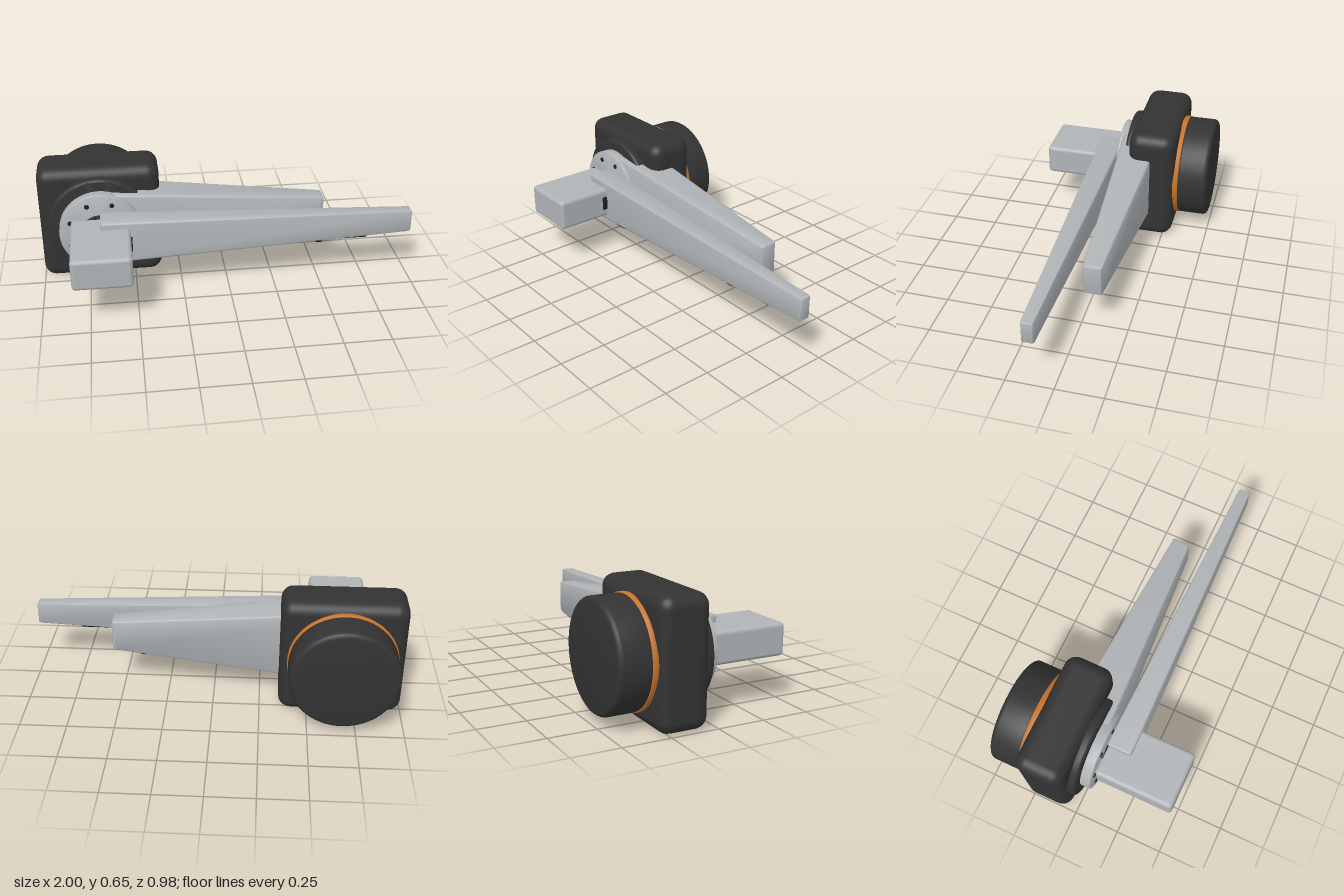
import * as THREE from 'three';
import { toCreasedNormals } from 'three/addons/utils/BufferGeometryUtils.js';
import { RoundedBoxGeometry } from 'three/addons/geometries/RoundedBoxGeometry.js';

const material = (name, color) => {
  const m = new THREE.MeshStandardMaterial({ color });
  m.name = name;
  return m;
};

export function createModel() {
  const model = new THREE.Group();
  model.name = 'twoArmMechanism';
  const charcoal = material('charcoal', 0x333333);
  const silver = material('silver', 0xb0b4b7);
  const copper = material('copper', 0xc8752d);
  const black = material('black', 0x1e1e1e);
  const cx = -0.675, cy = 0.328;

  const add = (name, geometry, mat, x = 0, y = 0, z = 0) => {
    const mesh = new THREE.Mesh(geometry, mat);
    mesh.name = name;
    mesh.position.set(x, y, z);
    model.add(mesh);
    return mesh;
  };

  // Box given by its extents, with rounded edges
  const box = (name, mat, [x0, x1], [y0, y1], [z0, z1], r) =>
    add(name, new RoundedBoxGeometry(x1 - x0, y1 - y0, z1 - z0, 4, r), mat,
      (x0 + x1) / 2, (y0 + y1) / 2, (z0 + z1) / 2);

  // Disc along z with rounded rims
  const disc = (name, mat, radius, z0, z1, bevel, x = cx, y = cy, segments = 64) => {
    const points = [new THREE.Vector2(0, z0)];
    for (let i = 0; i <= 4; i++) {
      const a = (i / 4) * Math.PI / 2;
      points.push(new THREE.Vector2(radius - bevel + bevel * Math.sin(a), z0 + bevel - bevel * Math.cos(a)));
    }
    for (let i = 0; i <= 4; i++) {
      const a = (i / 4) * Math.PI / 2;
      points.push(new THREE.Vector2(radius - bevel + bevel * Math.cos(a), z1 - bevel + bevel * Math.sin(a)));
    }
    points.push(new THREE.Vector2(0, z1));
    const g = toCreasedNormals(new THREE.LatheGeometry(points, segments), 0.6);
    return add(name, g.rotateX(Math.PI / 2), mat, x, y, 0);
  };

  // Arm tapering along +x from a root section to a tip section
  const arm = (name, x0, x1, y, z, root, tip, r) => {
    const length = x1 - x0;
    const g = new RoundedBoxGeometry(length, root[0], root[1], 3, r);
    const p = g.attributes.position;
    for (let i = 0; i < p.count; i++) {
      const t = p.getX(i) / length + 0.5;
      p.setY(i, p.getY(i) * (1 + t * (tip[0] / root[0] - 1)));
      p.setZ(i, p.getZ(i) * (1 + t * (tip[1] / root[1] - 1)));
    }
    add(name, toCreasedNormals(g, 0.6), silver, (x0 + x1) / 2, y, z);
  };

  // Rod along x, half sunk into an arm's underside, with a collar
  const rod = (name, x0, x1, y, z, r, collarX, collarR) => {
    add(name, new THREE.CylinderGeometry(r, r, x1 - x0, 24).rotateZ(Math.PI / 2),
      black, (x0 + x1) / 2, y, z);
    add(name + 'Collar', new THREE.CylinderGeometry(collarR, collarR, 0.03, 24).rotateZ(Math.PI / 2),
      black, collarX, y, z);
  };

  // Motor housing, back cap and trim
  box('housing', charcoal, [-1, -0.35], [0.003, 0.653], [-0.302, -0.04], 0.065);
  disc('backCap', charcoal, 0.283, -0.49, -0.31, 0.025);
  disc('trimRing', copper, 0.287, -0.325, -0.295, 0.003);
  disc('frontCollar', charcoal, 0.283, -0.06, 0, 0.015);

  // Face plate with bolts and hub
  disc('facePlate', silver, 0.22, -0.01, 0.055, 0.006, cx, cy, 72);
  disc('hub', black, 0.105, 0.04, 0.06, 0.002);
  for (let i = 0; i < 8; i++) {
    const a = (i + 0.5) * Math.PI / 4;
    disc('bolt', black, 0.013, 0.045, 0.061, 0.002,
      cx + 0.172 * Math.cos(a), cy + 0.172 * Math.sin(a), 16);
  }

  // Handle and its side port
  box('handle', silver, [-0.83, -0.52], [0.243, 0.414], [0.05, 0.485], 0.022);
  box('sidePort', black, [-0.53, -0.513], [0.29, 0.366], [0.13, 0.212], 0.003);

  // Tapered arms and their underside rods
  arm('rearArm', -0.675, 0.55, 0.329, -0.073, [0.428, 0.228], [0.172, 0.096], 0.018);
  arm('frontArm', -0.675, 1, 0.332, 0.121, [0.246, 0.136], [0.124, 0.064], 0.014);
  rod('rearRod', 0.08, 0.4, 0.223, -0.072, 0.029, 0.182, 0.042);
  rod('frontRod', 0.2, 0.76, 0.253, 0.121, 0.016, 0.493, 0.028);

  return model;
}
